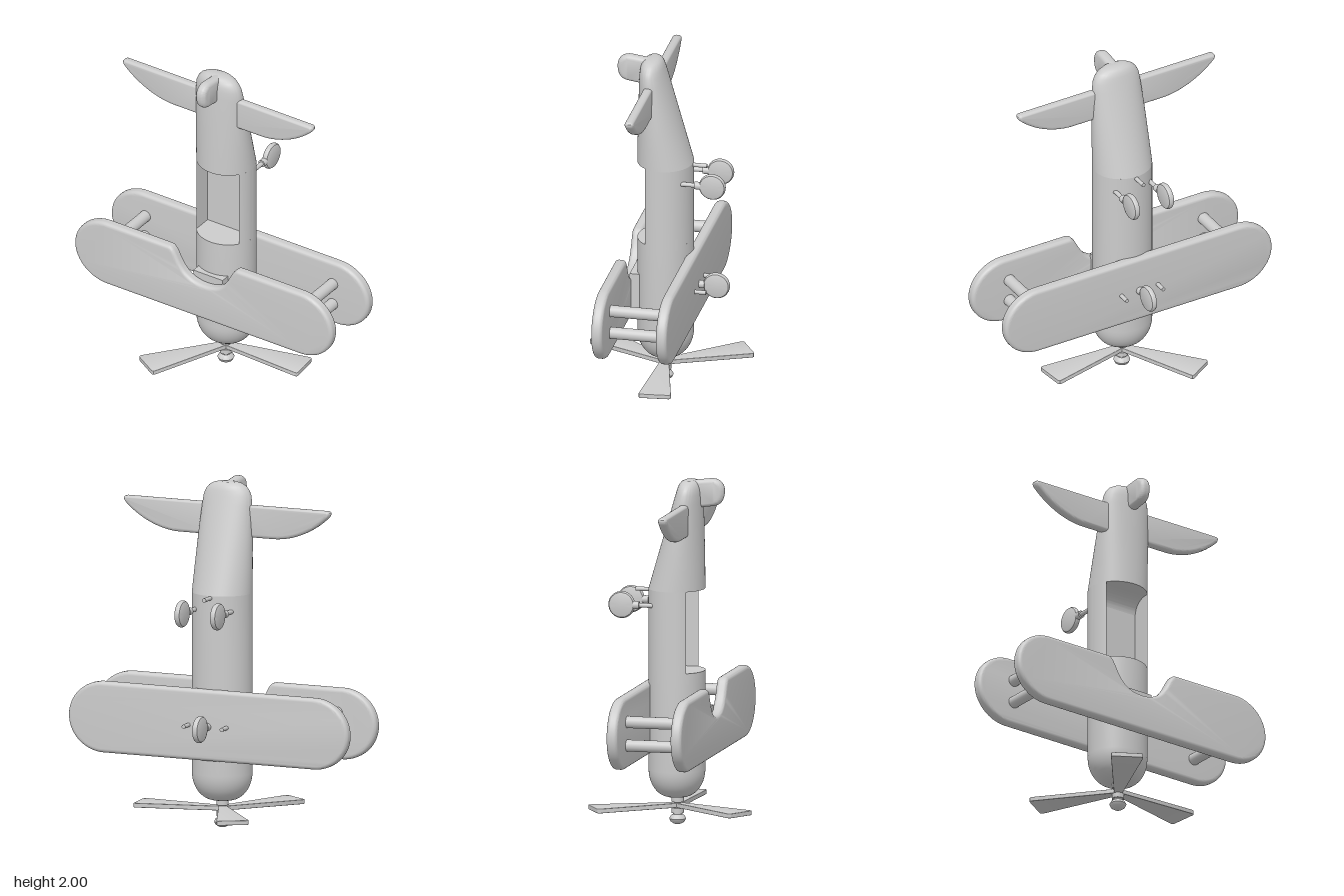
import * as THREE from 'three';
import { toCreasedNormals } from 'three/addons/utils/BufferGeometryUtils.js';

const V = (x, y, z) => new THREE.Vector3(x, y, z);

export function createModel() {
  const model = new THREE.Group();
  const mat = new THREE.MeshStandardMaterial({ color: 0xcccccc });

  const add = (name, geo) => {
    const mesh = new THREE.Mesh(geo, mat);
    mesh.name = name;
    model.add(mesh);
    return mesh;
  };

  // Round rod between two points
  const rod = (name, a, b, r) => {
    const dir = b.clone().sub(a);
    const mesh = add(name, new THREE.CylinderGeometry(r, r, dir.length(), 24));
    mesh.position.copy(a).add(b).multiplyScalar(0.5);
    mesh.quaternion.setFromUnitVectors(V(0, 1, 0), dir.normalize());
  };

  // Plate of given thickness with rounded edges, centred on its own plane
  const plate = (shape, thickness, round) => {
    const geo = new THREE.ExtrudeGeometry(shape, {
      depth: thickness - 2 * round, bevelEnabled: round > 0, bevelThickness: round,
      bevelSize: round, bevelOffset: -round, bevelSegments: 5, curveSegments: 24,
    });
    geo.translate(0, 0, round - thickness / 2);
    return toCreasedNormals(geo, 0.6);
  };

  // Closed body through elliptical sections [y, halfWidth, zBack, zFront]
  const loft = (sections) => {
    const n = 64, pos = [], idx = [], last = sections.length - 1;
    for (const [y, a, zb, zf] of sections)
      for (let j = 0; j < n; j++) {
        const t = (j / n) * Math.PI * 2;
        pos.push(a * Math.cos(t), y, (zb + zf) / 2 + ((zf - zb) / 2) * Math.sin(t));
      }
    for (const s of [sections[0], sections[last]]) pos.push(0, s[0], (s[2] + s[3]) / 2);
    const c0 = n * (last + 1);
    for (let j = 0; j < n; j++) {
      const k = (j + 1) % n;
      for (let i = 0; i < last; i++) {
        const p = i * n;
        idx.push(p + j, p + n + j, p + k, p + k, p + n + j, p + n + k);
      }
      idx.push(c0, j, k, c0 + 1, last * n + k, last * n + j);
    }
    const geo = new THREE.BufferGeometry();
    geo.setAttribute('position', new THREE.Float32BufferAttribute(pos, 3));
    geo.setIndex(idx);
    return toCreasedNormals(geo, 0.6);
  };

  // Nose section with rounded end
  const A = 0.175, B = 0.161, ZC = -0.004;
  const nose = [];
  for (let i = 0; i <= 10; i++) {
    const t = (i / 10) * Math.PI / 2, s = 0.27 + 0.73 * Math.sin(t);
    nose.push([0.16 + 0.16 * (1 - Math.cos(t)), A * s, ZC - B * s, ZC + B * s]);
  }
  nose.push([0.89, A, ZC - B, ZC + B]);
  add('fuselageNose', loft(nose));

  // Cockpit section: U-shaped cross-section
  const wall = 0.145, floorZ = -0.03, y0 = 0.89, y1 = 1.36;
  const t0 = Math.acos(wall / A), u = [new THREE.Vector2(-wall, -floorZ), new THREE.Vector2(wall, -floorZ)];
  for (let i = 0; i <= 48; i++) {
    const t = t0 - (i / 48) * (Math.PI + 2 * t0);
    u.push(new THREE.Vector2(A * Math.cos(t), -(ZC + B * Math.sin(t))));
  }
  const cockpit = plate(new THREE.Shape(u), y1 - y0, 0);
  cockpit.rotateX(-Math.PI / 2).translate(0, (y0 + y1) / 2, 0);
  add('fuselageCockpit', cockpit);

  // Curved backrest at the end of the cockpit
  const r = 0.09, rest = new THREE.Shape();
  rest.moveTo(-floorZ, y1);
  rest.lineTo(-floorZ, y1 - r);
  rest.quadraticCurveTo(-floorZ - r * 0.12, y1 - r * 0.12, -floorZ - r, y1);
  add('cockpitBackrest', plate(rest, 2 * wall, 0).rotateY(Math.PI / 2));

  // Tapered tail section
  add('fuselageTail', loft([
    [1.36, A, ZC - B, ZC + B], [1.5, 0.171, -0.124, 0.155], [1.7, 0.163, -0.065, 0.15],
    [1.86, 0.152, -0.018, 0.145], [1.91, 0.146, -0.003, 0.142], [1.94, 0.133, 0.006, 0.138],
    [1.962, 0.115, 0.014, 0.131], [1.978, 0.088, 0.026, 0.12], [1.986, 0.055, 0.042, 0.105],
  ]));

  // Wings: the front one is notched for the cockpit
  const wing = (notched) => {
    const s = new THREE.Shape();
    s.moveTo(-0.66, 0.41);
    s.lineTo(0.66, 0.41);
    s.absellipse(0.66, 0.615, 0.22, 0.205, -Math.PI / 2, Math.PI / 2);
    if (notched) {
      s.lineTo(0.24, 0.82);
      s.bezierCurveTo(0.17, 0.82, 0.19, 0.635, 0, 0.635);
      s.bezierCurveTo(-0.19, 0.635, -0.17, 0.82, -0.24, 0.82);
    }
    s.lineTo(-0.66, 0.82);
    s.absellipse(-0.66, 0.615, 0.22, 0.205, Math.PI / 2, Math.PI * 1.5);
    return plate(s, 0.064, 0.022);
  };
  add('frontWing', wing(true)).position.z = 0.208;
  add('rearWing', wing(false)).position.z = -0.168;
  add('wingMount', new THREE.BoxGeometry(0.2, 0.21, 0.1)).position.set(0, 0.575, 0.135);

  // Wing struts
  for (const x of [-0.64, 0.64])
    for (const y of [0.545, 0.68]) rod('wingStrut', V(x, y, -0.15), V(x, y, 0.19), 0.034);

  // Tailplane halves
  for (const side of [-1, 1]) {
    const s = new THREE.Shape();
    s.moveTo(side * 0.1, 1.86);
    s.lineTo(side * 0.63, 1.86);
    s.quadraticCurveTo(side * 0.66, 1.855, side * 0.64, 1.825);
    s.bezierCurveTo(side * 0.56, 1.745, side * 0.43, 1.675, side * 0.29, 1.675);
    s.lineTo(side * 0.1, 1.675);
    add('tailplane', plate(s, 0.054, 0.02)).position.z = 0.07;
  }

  // Tail fin
  const fin = new THREE.Shape();
  fin.moveTo(-0.06, 1.982);
  fin.lineTo(-0.2, 2.0);
  fin.bezierCurveTo(-0.25, 2.0, -0.275, 1.97, -0.275, 1.93);
  fin.bezierCurveTo(-0.275, 1.87, -0.25, 1.846, -0.21, 1.841);
  fin.lineTo(-0.06, 1.82);
  add('tailFin', plate(fin, 0.066, 0.028).rotateY(Math.PI / 2));

  // Propeller shaft with rounded end knob
  const shaft = [[0, 0], [0.022, 0.004], [0.04, 0.016], [0.048, 0.033], [0.04, 0.049], [0.028, 0.058],
    [0.028, 0.065], [0.035, 0.066], [0.035, 0.095], [0.022, 0.096], [0.022, 0.128],
    [0.035, 0.13], [0.035, 0.17], [0, 0.17]].map(([x, y]) => new THREE.Vector2(x, y));
  add('propellerShaft', toCreasedNormals(new THREE.LatheGeometry(shaft, 32), 0.7));

  // Propeller blades, widening towards the tip
  const blade = new THREE.Shape();
  blade.moveTo(0, -0.022);
  blade.lineTo(0.49, -0.092);
  blade.quadraticCurveTo(0.507, -0.092, 0.508, -0.078);
  blade.lineTo(0.508, 0.078);
  blade.quadraticCurveTo(0.507, 0.092, 0.49, 0.092);
  blade.lineTo(0, 0.022);
  for (const deg of [5.6, 122, -120.7]) {
    const mesh = add('propellerBlade', plate(blade, 0.026, 0.003).rotateX(-Math.PI / 2));
    mesh.position.y = 0.111;
    mesh.rotation.y = THREE.MathUtils.degToRad(deg);
  }

  // Wheels with short legs
  const rim = [[0, -0.019], [0.06, -0.019], [0.071, -0.015], [0.077, -0.006], [0.077, 0.006],
    [0.071, 0.015], [0.06, 0.019], [0, 0.019]].map(([x, y]) => new THREE.Vector2(x, y));
  for (const [x, y] of [[-0.112, 1.27], [0.112, 1.27], [0, 0.61]]) {
    const geo = toCreasedNormals(new THREE.LatheGeometry(rim, 40), 0.6).rotateZ(Math.PI / 2);
    add('wheel', geo).position.set(x, y, -0.3);
    rod('wheelLeg', V(x, y, -0.1), V(x, y, -0.25), 0.013);
    rod('wheelSocket', V(x, y, -0.197), V(x, y, -0.232), 0.022);
  }

  // Small pegs
  rod('peg', V(0, 1.347, -0.12), V(0, 1.347, -0.245), 0.012);
  for (const x of [-0.12, 0.12]) rod('peg', V(x, 0.612, -0.17), V(x, 0.612, -0.265), 0.012);

  return model;
}
